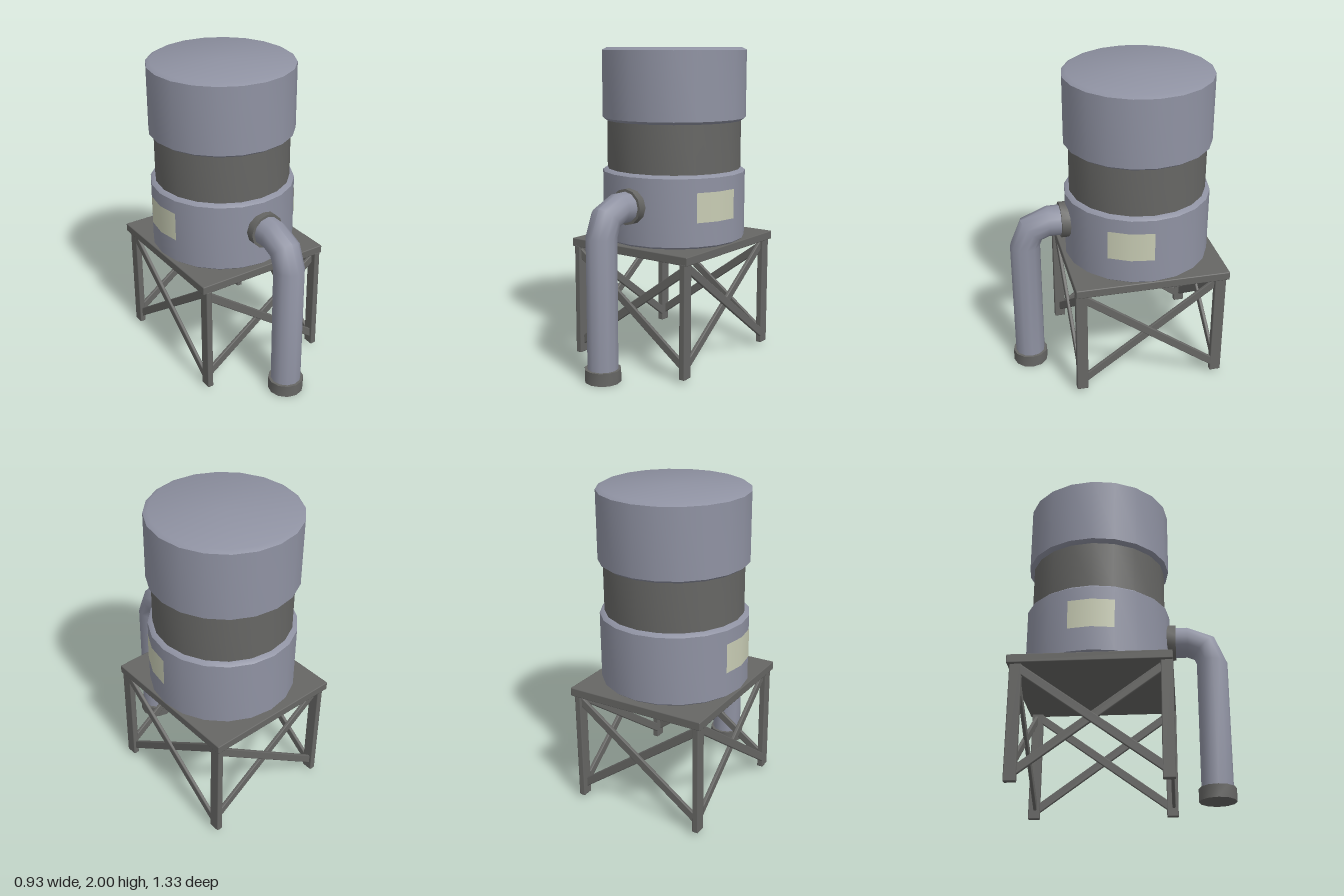
import * as THREE from 'three';
import { toCreasedNormals } from 'three/addons/utils/BufferGeometryUtils.js';
import { RoundedBoxGeometry } from 'three/addons/geometries/RoundedBoxGeometry.js';

const TANK_Z = -0.17;
const PIPE_Z = 0.553;
const PIPE_Y = 1.042;

export function createModel() {
  const model = new THREE.Group();
  model.name = 'tankOnStand';

  const painted = new THREE.MeshStandardMaterial({ color: 0x8f92a2 });
  const dark = new THREE.MeshStandardMaterial({ color: 0x666664 });
  const pale = new THREE.MeshStandardMaterial({ color: 0xc8ccb4, side: THREE.DoubleSide });

  const add = (name, geometry, material, x = 0, y = 0, z = 0, parent = model) => {
    const mesh = new THREE.Mesh(geometry, material);
    mesh.name = name;
    mesh.position.set(x, y, z);
    parent.add(mesh);
    return mesh;
  };
  const bevelBox = (w, h, d) => new RoundedBoxGeometry(w, h, d, 1, 0.006);

  // Tank drums: 20-sided turned shells with bevelled rims
  const drum = (name, profile, material) => {
    const points = profile.map(([r, y]) => new THREE.Vector2(r, y));
    add(name, toCreasedNormals(new THREE.LatheGeometry(points, 20), 0.7), material, 0, 0, TANK_Z);
  };
  drum('lowerDrum', [[0, 0.785], [0.44, 0.785], [0.46, 0.8], [0.46, 1.222], [0.436, 1.24], [0, 1.24]], painted);
  drum('middleBand', [[0.43, 1.23], [0.43, 1.56]], dark);
  drum('upperDrum', [[0, 1.545], [0.436, 1.545], [0.46, 1.562], [0.46, 1.985], [0.432, 2], [0, 2]], painted);

  // Pale panels wrapped over two facets on each side
  const panel = (name, startDeg) => add(name,
    new THREE.CylinderGeometry(0.4625, 0.4625, 0.185, 2, 1, true,
      THREE.MathUtils.degToRad(startDeg), THREE.MathUtils.degToRad(36)),
    pale, 0, 1.043, TANK_Z);
  panel('leftPanel', 54);
  panel('rightPanel', 252);

  // Stand: platform, four legs and crossed braces on every side
  add('platform', bevelBox(0.91, 0.055, 0.978), dark, -0.003, 0.76, -0.176);
  const stand = new THREE.Group();
  stand.name = 'stand';
  stand.position.z = -0.167;
  model.add(stand);
  const legX = 0.417, legZ = 0.445;
  for (const sx of [-1, 1]) {
    for (const sz of [-1, 1]) {
      add('leg', bevelBox(0.04, 0.72, 0.073), dark, sx * legX, 0.382, sz * legZ, stand);
    }
  }
  const crossBrace = (name, half, x, z, turn) => {
    const side = new THREE.Group();
    side.name = name;
    side.position.set(x, 0.397, z);
    side.rotation.y = turn;
    stand.add(side);
    const rise = half * 0.727;
    for (const s of [-1, 1]) {
      const bar = add('brace', bevelBox(2 * Math.hypot(half, rise), 0.053, 0.022), dark, 0, 0, s * 0.008, side);
      bar.rotation.z = -s * Math.atan2(rise, half);
    }
  };
  crossBrace('frontBraces', legX, 0, legZ, 0);
  crossBrace('backBraces', legX, 0, -legZ, Math.PI);
  crossBrace('leftBraces', legZ, legX, 0, Math.PI / 2);
  crossBrace('rightBraces', legZ, -legX, 0, -Math.PI / 2);

  // Pipe: a 12-sided tube whose rings follow a two-step elbow
  const bend = 0.15;
  const cz = PIPE_Z - bend, cy = PIPE_Y - bend;
  const rings = [
    { z: 0.25, y: PIPE_Y, angle: 0 },
    ...[0, 1, 2].map((i) => {
      const angle = i * Math.PI / 4;
      return { z: cz + bend * Math.sin(angle), y: cy + bend * Math.cos(angle), angle };
    }),
    { z: PIPE_Z, y: 0.04, angle: Math.PI / 2 },
  ];
  const tube = new THREE.CylinderGeometry(0.096, 0.096, 4, 12, 4, true);
  const pos = tube.attributes.position;
  for (let i = 0; i < pos.count; i++) {
    const ring = rings[Math.round(2 - pos.getY(i))];
    const out = pos.getZ(i);
    pos.setXYZ(i, pos.getX(i),
      ring.y + out * Math.cos(ring.angle),
      ring.z + out * Math.sin(ring.angle));
  }
  add('pipe', toCreasedNormals(tube, 0.85), painted);

  // Collars where the pipe meets the tank and the ground
  const collar = (h) => toCreasedNormals(new THREE.CylinderGeometry(0.113, 0.113, h, 12), 0.7);
  add('tankCollar', collar(0.09), dark, 0, PIPE_Y, 0.283).rotation.x = Math.PI / 2;
  add('groundCollar', collar(0.08), dark, 0, 0.04, PIPE_Z);

  return model;
}
